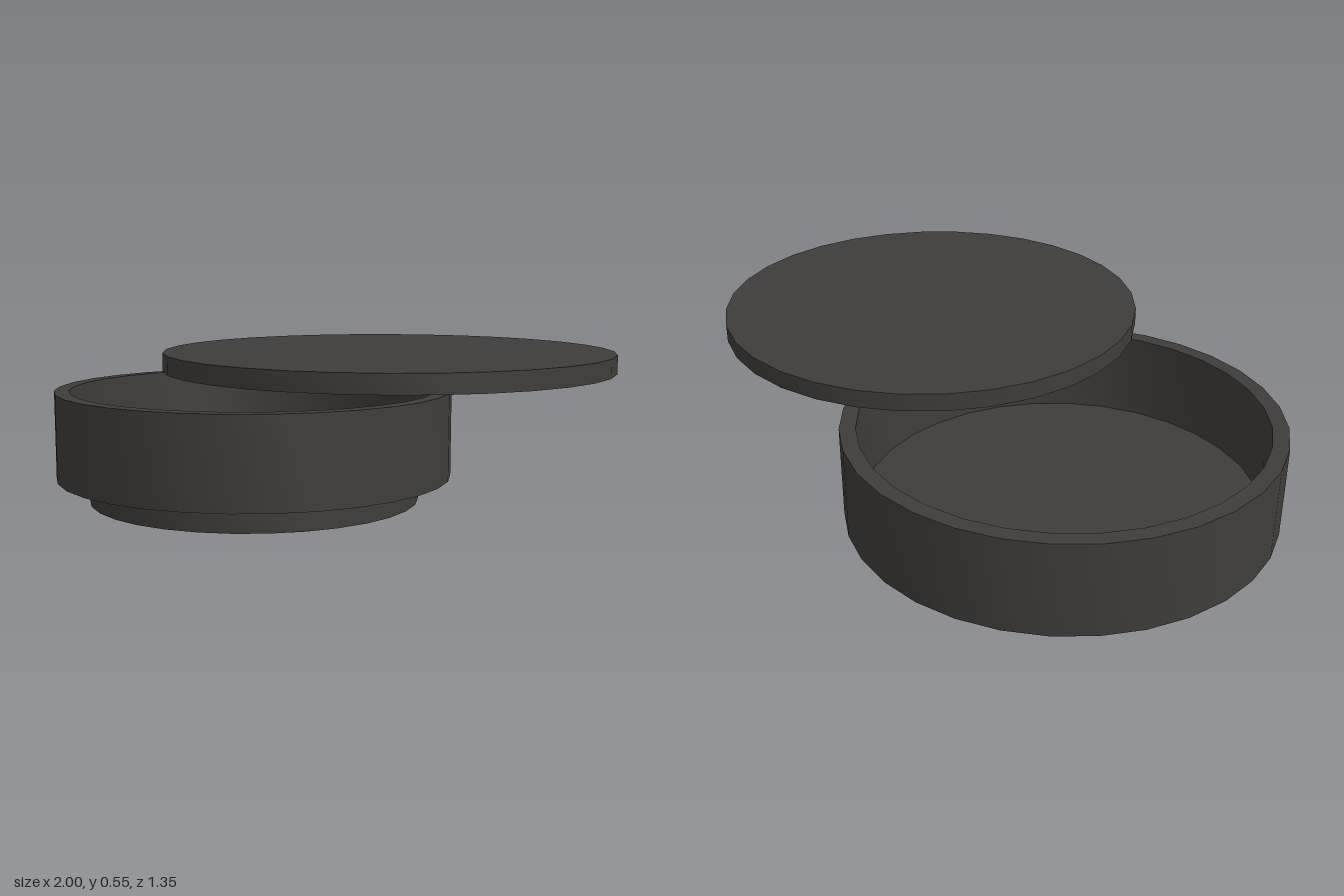
import * as THREE from 'three';
import { toCreasedNormals } from 'three/addons/utils/BufferGeometryUtils.js';

const SIDES = 32;

// Turned part with crisp rims and smooth round walls
function turned(name, profile, x, material) {
  const points = profile.map(([r, y]) => new THREE.Vector2(r, y));
  const geometry = toCreasedNormals(new THREE.LatheGeometry(points, SIDES), Math.PI / 6);
  const mesh = new THREE.Mesh(geometry, material);
  mesh.name = name;
  mesh.position.x = x;
  return mesh;
}

export function createModel() {
  const group = new THREE.Group();
  group.name = 'lidded dish';
  const material = new THREE.MeshStandardMaterial({ color: 0x3f3d3a });

  // Dish: hollow foot ring, stepped underside, straight wall, thin floor
  group.add(turned('dish', [
    [0, 0.08], [0.525, 0.08], [0.525, 0], [0.565, 0], [0.565, 0.085],
    [0.675, 0.085], [0.675, 0.38], [0.625, 0.38], [0.625, 0.1], [0, 0.1],
  ], -0.325, material));

  // Lid: flat disc floating to the side, above the dish
  group.add(turned('lid', [
    [0, 0.495], [0.675, 0.495], [0.675, 0.55], [0, 0.55],
  ], 0.325, material));

  return group;
}
